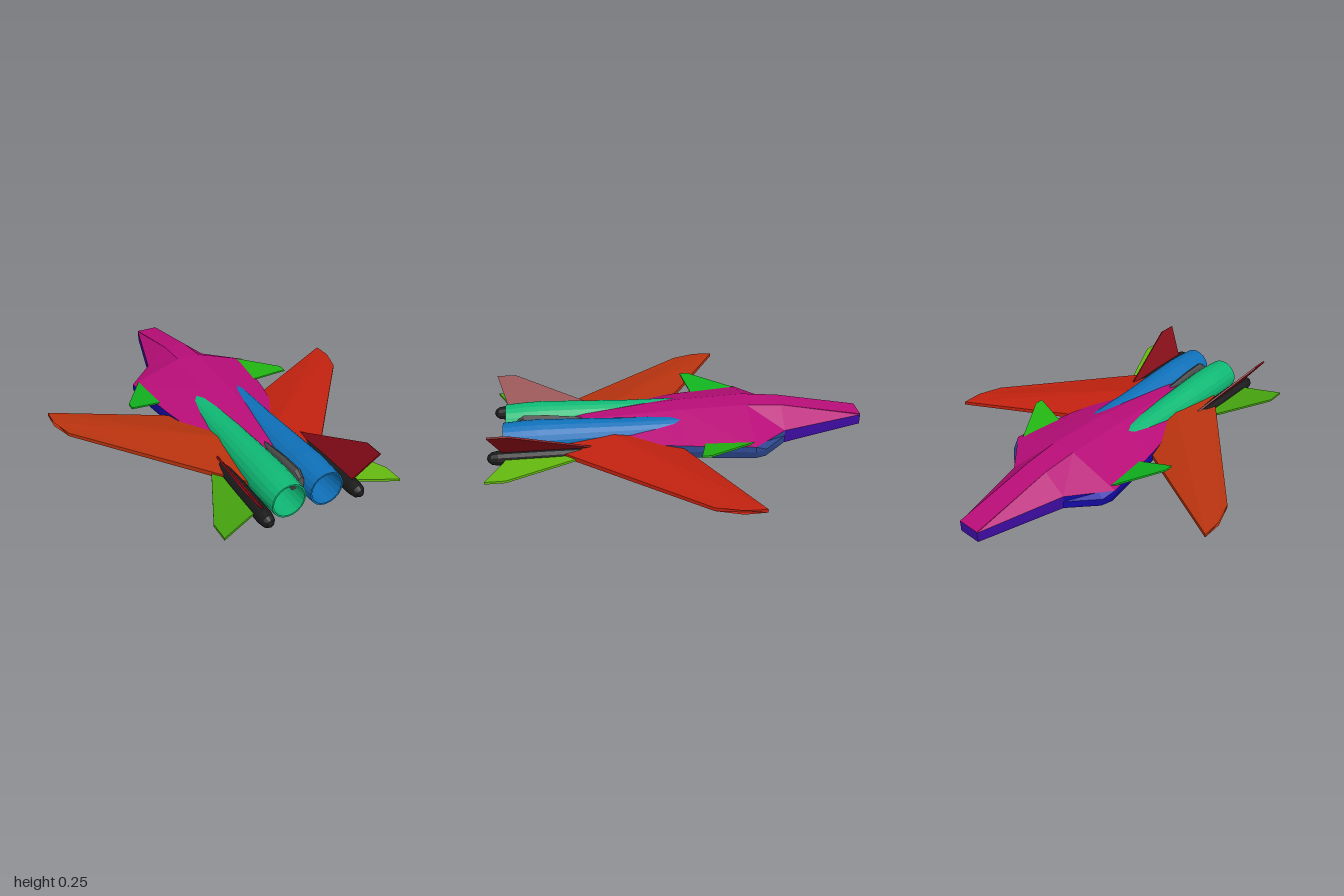
import * as THREE from 'three';

function mesh(name, geometry, color) {
  const m = new THREE.Mesh(geometry, new THREE.MeshStandardMaterial({
    color, flatShading: true, side: THREE.DoubleSide }));
  m.name = name;
  return m;
}

// Faceted geometry from a flat list of triangle corners
function facets(tris) {
  const g = new THREE.BufferGeometry();
  g.setAttribute('position', new THREE.Float32BufferAttribute(tris.flat(2), 3));
  g.computeVertexNormals();
  return g;
}

// Skin stretched over rows of points
function skin(rows, flip = false) {
  const tris = [];
  for (let i = 0; i + 1 < rows.length; i++) {
    for (let j = 0; j + 1 < rows[i].length; j++) {
      const a = rows[i][j], b = rows[i][j + 1], c = rows[i + 1][j], d = rows[i + 1][j + 1];
      tris.push(flip ? [a, c, b] : [a, b, c], flip ? [b, c, d] : [b, d, c]);
    }
  }
  return facets(tris);
}

// Closed solid between two matching polygons, turned so that faces point outward
function solid(p, q) {
  const n = p.length, tris = [];
  for (let i = 0; i < n; i++) {
    const k = (i + 1) % n;
    tris.push([p[i], p[k], q[i]], [p[k], q[k], q[i]]);
    if (i > 0 && i < n - 1) tris.push([p[0], p[k], p[i]], [q[0], q[i], q[k]]);
  }
  let volume = 0;
  for (const [a, b, c] of tris) {
    volume += new THREE.Vector3(...a).dot(new THREE.Vector3(...b).cross(new THREE.Vector3(...c)));
  }
  if (volume < 0) tris.forEach((t) => t.reverse());
  return facets(tris);
}

// Thin plate from an outline, thickened along the direction given
function plate(outline, dir, t) {
  const shift = (k) => outline.map((p) => p.map((v, i) => v + dir[i] * k * t / 2));
  return solid(shift(1), shift(-1));
}

const mirror = (pts, s) => pts.map(([x, y, z]) => [x * s, y, z]);

// Lathe along z from [radius, z] pairs
function turned(profile, sides) {
  return new THREE.LatheGeometry(profile.map(([r, z]) => new THREE.Vector2(r, z)), sides)
    .rotateX(Math.PI / 2);
}

// Hull stations: z, then half-section: deck corner, upper edge, side middle, belly edge, keel
const stations = [
  [-1.00, [0.06, 0.100], [0.060, 0.095], [0.060, 0.07], [0.060, 0.040], [0, 0.040]],
  [-0.55, [0.06, 0.185], [0.175, 0.092], [0.175, 0.06], [0.172, 0.018], [0, 0.016]],
  [-0.36, [0.065, 0.200], [0.345, 0.105], [0.345, 0.075], [0.325, 0.027], [0, 0.014]],
  [0.00, [0.06, 0.190], [0.290, 0.105], [0.290, 0.07], [0.275, 0.027], [0, 0.020]],
  [0.22, [0.048, 0.175], [0.240, 0.100], [0.240, 0.07], [0.230, 0.030], [0, 0.027]],
  [0.50, [0.03, 0.150], [0.205, 0.095], [0.205, 0.07], [0.200, 0.040], [0, 0.040]],
  [0.75, [0.015, 0.11], [0.185, 0.085], [0.185, 0.07], [0.180, 0.055], [0, 0.055]],
];
const rowOf = (st, cols, s) => cols.map((c) => [st[c][0] * s, st[c][1], st[0]]);

function buildHull(group) {
  const magenta = 0xb80d78, indigo = 0x3d0ca0;
  const center = stations.map((st) => [[-st[1][0], st[1][1], st[0]], [st[1][0], st[1][1], st[0]]]);
  group.add(mesh('deckCentre', skin(center, true), magenta));
  for (const s of [1, -1]) {
    const side = s > 0 ? 'left' : 'right';
    const part = (name, list, cols, color) => group.add(
      mesh(side + name, skin(list.map((st) => rowOf(st, cols, s)), s > 0), color));
    part('Deck', stations, [1, 2], magenta);
    part('NoseSide', stations.slice(0, 2), [2, 3, 4], indigo);
    part('Belly', stations, [4, 5], magenta);
    part('HullSide', stations.slice(2), [2, 3, 4], s > 0 ? 0x2f4a92 : 0x1509a8);

    // Flared intake cheek with a bulge between nose and hull side
    const cheek = [stations[1],
      [-0.42, [0, 0], [0.288, 0.101], [0.318, 0.073], [0.305, 0.025]], stations[2]];
    part('IntakeCheek', cheek, [2, 3, 4], s > 0 ? 0x2f4a92 : 0x1509a8);
  }
  // Blunt nose and tail ends
  const end = (name, st, color, flip) => {
    const half = rowOf(st, [1, 2, 3, 4], 1);
    group.add(mesh(name, skin([half, mirror(half, -1)], flip), color));
  };
  end('noseTip', stations[0], indigo, true);
  end('tailEnd', stations[stations.length - 1], magenta, false);
}

function buildSide(s) {
  const g = new THREE.Group();
  g.name = s > 0 ? 'leftSide' : 'rightSide';
  const left = s > 0;

  // Engine nacelle with a recessed open nozzle
  const engine = mesh('engine', turned([
    [0, -0.3], [0.069, -0.3], [0.073, 0], [0.078, 0.3], [0.089, 0.55], [0.096, 0.74],
    [0.094, 0.82], [0.088, 0.92], [0.08, 0.92], [0.076, 0.74], [0, 0.74]], 20),
    left ? 0x0f70b8 : 0x0fb874);
  engine.position.set(0.1 * s, 0.097, 0);
  g.add(engine);

  // Forward-swept wing with a ridged section and blunt edges
  const section = (x, front, ridge, rear, low, high, top, bottom) => mirror([
    [x, low, front], [x, high, front], [x, top, ridge], [x, high, rear],
    [x, low, rear], [x, bottom, ridge]], s);
  g.add(mesh('wing', solid(
    section(0.17, 0.07, 0.36, 0.73, 0.065, 0.09, 0.13, 0.052),
    section(0.85, -0.31, -0.2, -0.07, 0.07, 0.088, 0.09, 0.068)
      .map(([x, y, z], i) => (i === 3 || i === 4 ? [0.81 * s, y, z] : [x, y, z]))),
    left ? 0xc0210f : 0xb8330f));

  // Canard
  g.add(mesh('canard', plate(mirror([
    [0.28, 0.105, -0.40], [0.31, 0.112, -0.36], [0.463, 0.143, -0.11],
    [0.463, 0.143, -0.063], [0.28, 0.105, -0.107]], s), [-0.2 * s, 0.98, 0], 0.009),
    left ? 0x22b412 : 0x10b01e));

  // Tailplane
  g.add(mesh('tailplane', plate(mirror([
    [0.235, 0.073, 0.40], [0.463, 0.073, 0.89], [0.463, 0.073, 0.993],
    [0.235, 0.073, 0.885]], s), [0, 1, 0], 0.012), left ? 0x62b80f : 0x45a00f));

  // Canted fin
  g.add(mesh('fin', plate(mirror([
    [0.235, 0.10, 0.46], [0.34, 0.25, 0.875], [0.34, 0.25, 0.975],
    [0.235, 0.10, 0.92]], s), [0.82 * s, -0.57, 0], 0.01), 0x840b16));

  // Tail boom with a rounded end
  const boom = mesh('tailBoom', turned([
    [0, 0.1], [0.02, 0.1], [0.03, 0.4], [0.037, 0.7], [0.038, 0.94],
    [0.032, 0.975], [0.018, 0.994], [0, 1]], 12), 0x1a1a1a);
  boom.position.set(0.238 * s, 0.071, 0);
  g.add(boom);
  return g;
}

export function createModel() {
  const model = new THREE.Group();
  model.name = 'jet';
  buildHull(model);
  model.add(buildSide(1), buildSide(-1));

  // Tall slim spine between the engines
  const spine = mesh('spine', turned([
    [0, 0.28], [0.012, 0.4], [0.022, 0.55], [0.03, 0.7], [0.032, 0.82],
    [0.022, 0.855], [0, 0.87]], 12).scale(1, 2.4, 1), 0x4a4a4a);
  spine.position.y = 0.1;
  model.add(spine);
  return model;
}
